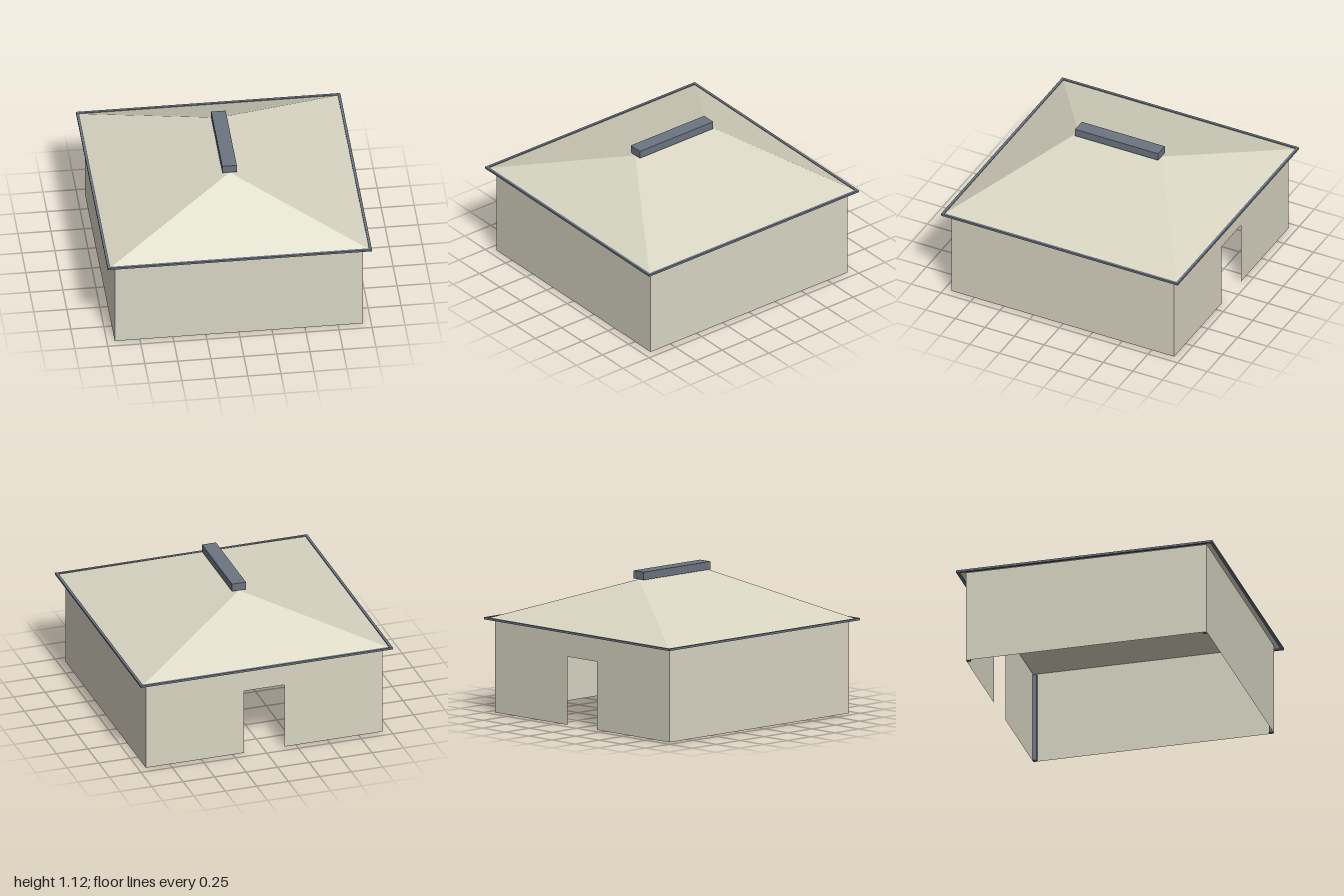
import * as THREE from 'three';

const WALL = 0.94, WALL_TOP = 0.725, EAVE = 0.99, EAVE_Y = 0.715, RIDGE_Y = 1.06, RIDGE_Z = 0.35;

const plaster = new THREE.MeshStandardMaterial({ color: 0xd8d5c2, side: THREE.DoubleSide, flatShading: true });
const slate = new THREE.MeshStandardMaterial({ color: 0x6b7480, flatShading: true });

function add(parent, name, geometry, material, x = 0, y = 0, z = 0) {
  const mesh = new THREE.Mesh(geometry, material);
  mesh.name = name;
  mesh.position.set(x, y, z);
  parent.add(mesh);
  return mesh;
}

// Thin wall outline, notched at the bottom when it has a doorway
function wallGeometry(doorHalf = 0, doorHeight = 0) {
  const points = [[-WALL, 0]];
  if (doorHalf) points.push([-doorHalf, 0], [-doorHalf, doorHeight], [doorHalf, doorHeight], [doorHalf, 0]);
  points.push([WALL, 0], [WALL, WALL_TOP], [-WALL, WALL_TOP]);
  return new THREE.ShapeGeometry(new THREE.Shape(points.map(([x, y]) => new THREE.Vector2(x, y))));
}

// Hip roof shell: two trapezoids and two triangles
function roofGeometry() {
  const corner = (sx, sz) => [sx * EAVE, EAVE_Y, sz * EAVE];
  const ridge = (sz) => [0, RIDGE_Y, sz * RIDGE_Z];
  const triangles = [];
  for (const s of [1, -1]) {
    triangles.push(corner(-s, s), corner(s, s), ridge(s)); // hip end
    triangles.push(corner(s, s), corner(s, -s), ridge(-s)); // long slope
    triangles.push(corner(s, s), ridge(-s), ridge(s));
  }
  const geometry = new THREE.BufferGeometry();
  geometry.setAttribute('position', new THREE.Float32BufferAttribute(triangles.flat(), 3));
  geometry.computeVertexNormals();
  return geometry;
}

export function createModel() {
  const model = new THREE.Group();
  model.name = 'house';

  // Four walls, doorway in the back one
  const walls = new THREE.Group();
  walls.name = 'walls';
  model.add(walls);
  ['frontWall', 'leftWall', 'backWall', 'rightWall'].forEach((name, i) => {
    const a = (i * Math.PI) / 2;
    const geometry = name === 'backWall' ? wallGeometry(0.16, 0.52) : wallGeometry();
    add(walls, name, geometry, plaster, WALL * Math.sin(a), 0, WALL * Math.cos(a)).rotation.y = a;
  });

  // Posts inside the corners
  for (const sx of [-1, 1])
    for (const sz of [-1, 1])
      add(model, 'cornerPost', new THREE.BoxGeometry(0.03, 0.71, 0.03), slate, sx * 0.922, 0.355, sz * 0.922);

  // Roof, ridge cap and eave trim
  add(model, 'roof', roofGeometry(), plaster);
  add(model, 'ridgeCap', new THREE.BoxGeometry(0.11, 0.06, 0.7), slate, 0, 1.09, 0);
  for (const s of [-1, 1]) {
    add(model, 'eaveTrim', new THREE.BoxGeometry(2, 0.016, 0.02), slate, 0, 0.718, s * 0.99);
    add(model, 'eaveTrim', new THREE.BoxGeometry(0.02, 0.016, 1.96), slate, s * 0.99, 0.718, 0);
  }
  return model;
}
